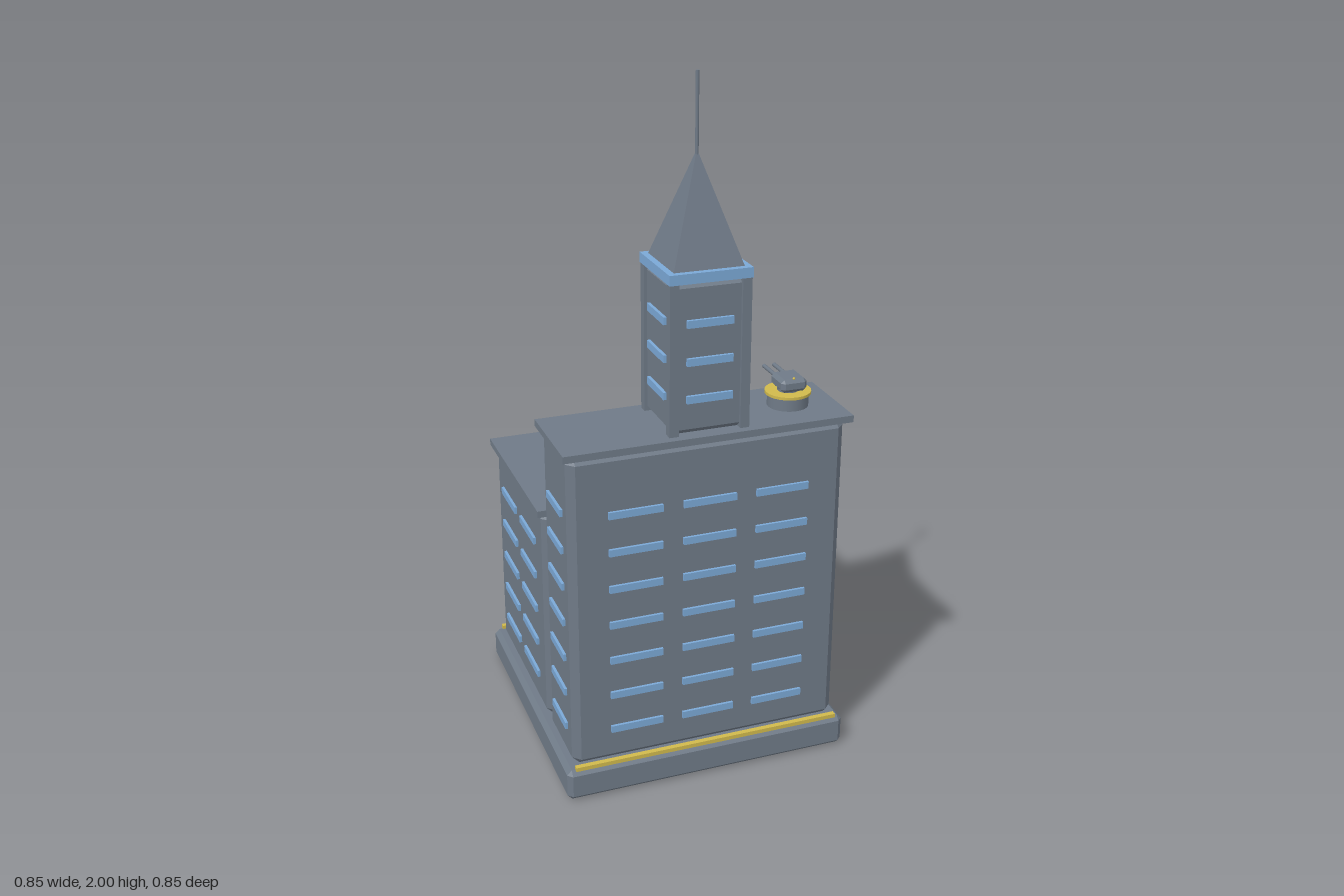
import * as THREE from 'three';
import { ConvexGeometry } from 'three/addons/geometries/ConvexGeometry.js';

const mat = (name, color) => {
  const m = new THREE.MeshStandardMaterial({ color });
  m.name = name;
  return m;
};

export function createModel() {
  const grey = mat('slate grey', 0x6f7a87);
  const blue = mat('window blue', 0x7ba8d6);
  const gold = mat('trim gold', 0xd0b94c);
  const root = new THREE.Group();
  root.name = 'fortressBuilding';

  const add = (parent, name, geo, material, x = 0, y = 0, z = 0) => {
    const m = new THREE.Mesh(geo, material);
    m.name = name;
    m.position.set(x, y, z);
    parent.add(m);
    return m;
  };
  const group = (name) => {
    const g = new THREE.Group();
    g.name = name;
    root.add(g);
    return g;
  };
  const box = (parent, name, material, w, h, d, x, y, z) =>
    add(parent, name, new THREE.BoxGeometry(w, h, d), material, x, y, z);

  // Box with all twelve edges cut by c
  const chamferBox = (w, h, d, c) => {
    const pts = [];
    for (const sx of [-1, 1]) for (const sy of [-1, 1]) for (const sz of [-1, 1]) {
      const p = [w / 2, h / 2, d / 2], s = [sx, sy, sz];
      for (let k = 0; k < 3; k++)
        pts.push(new THREE.Vector3(...p.map((v, i) => s[i] * (i === k ? v : v - c))));
    }
    return new ConvexGeometry(pts);
  };

  // Grid of window bars; the wall normal runs along 'x' or 'z'
  const windows = (parent, axis, wall, columns, rows, width) => {
    for (const y of rows) for (const c of columns) {
      if (axis === 'z') box(parent, 'windowBar', blue, width, 0.021, 0.016, c, y, wall);
      else box(parent, 'windowBar', blue, 0.016, 0.021, width, wall, y, c);
    }
  };
  const floors = (n) => Array.from({ length: n }, (_, i) => 0.2 + i * 0.111);

  // Plinth with its gold edge strips
  const base = group('base');
  add(base, 'plinth', chamferBox(0.85, 0.095, 0.85, 0.014), grey, 0, 0.0475, 0);
  for (const s of [-1, 1])
    box(base, 'edgeStrip', gold, 0.8, 0.012, 0.015, 0, 0.1, s * 0.414);

  // Tall front block
  const front = group('frontBlock');
  add(front, 'frontBody', chamferBox(0.8, 0.95, 0.24, 0.022), grey, 0, 0.568, 0.28);
  box(front, 'frontRoof', grey, 0.83, 0.02, 0.27, 0, 1.05, 0.28);
  for (const z of [0.16, 0.4]) windows(front, 'z', z, [-0.213, 0, 0.213], floors(7), 0.154);
  for (const x of [-0.4, 0.4]) windows(front, 'x', x, [0.28], floors(7), 0.132);

  // Two rear wings around the courtyard
  for (const s of [-1, 1]) {
    const wing = group(s > 0 ? 'leftWing' : 'rightWing');
    add(wing, 'wingBody', chamferBox(0.24, 0.67, 0.525, 0.022), grey, s * 0.28, 0.43, -0.122);
    box(wing, 'wingRoof', grey, 0.275, 0.02, 0.545, s * 0.2785, 0.77, -0.1275);
    windows(wing, 'x', s * 0.4, [-0.02, -0.23], floors(5), 0.155);
    windows(wing, 'z', -0.385, [s * 0.28], floors(5), 0.132);
    // Courtyard gate post
    box(wing, 'gatePost', gold, 0.014, 0.022, 0.015, s * 0.141, 0.104, -0.388);
  }

  // Ringed mast on the rear corner
  const mast = group('cornerMast');
  add(mast, 'mastRod', new THREE.CylinderGeometry(0.004, 0.004, 0.11, 8), gold, 0.4, 0.148, -0.388);
  for (let i = 0; i < 6; i++) {
    const ring = add(mast, 'mastRing', new THREE.TorusGeometry(0.006, 0.004, 6, 12), gold, 0.4, 0.11 + i * 0.017, -0.388);
    ring.rotation.x = Math.PI / 2;
  }

  // Clock-tower-like centre tower
  const tower = group('tower');
  tower.position.set(0, 0, 0.278);
  add(tower, 'towerBody', chamferBox(0.21, 0.42, 0.21, 0.014), grey, 0, 1.27, 0);
  for (const x of [-1, 1]) for (const z of [-1, 1])
    box(tower, 'cornerPier', grey, 0.026, 0.42, 0.026, x * 0.101, 1.27, z * 0.101);
  const towerRows = [1.16, 1.265, 1.37];
  for (const s of [-0.106, 0.106]) {
    windows(tower, 'z', s, [0], towerRows, 0.13);
    windows(tower, 'x', s, [0], towerRows, 0.13);
  }
  box(tower, 'blueCornice', blue, 0.232, 0.028, 0.232, 0, 1.494, 0);
  const spire = new THREE.CylinderGeometry(0.005, 0.098 * Math.SQRT2, 0.282, 4).toNonIndexed();
  spire.computeVertexNormals();
  spire.rotateY(Math.PI / 4);
  add(tower, 'spire', spire, grey, 0, 1.649, 0);
  add(tower, 'antenna', new THREE.CylinderGeometry(0.005, 0.005, 0.23, 8), grey, 0, 1.885, 0);

  // Twin-barrel roof turret aimed to the rear
  const turret = group('turret');
  turret.position.set(0.278, 0, 0.277);
  add(turret, 'turretBase', new THREE.CylinderGeometry(0.058, 0.058, 0.036, 24), grey, 0, 1.078, 0);
  add(turret, 'turretRing', new THREE.CylinderGeometry(0.065, 0.065, 0.008, 24), gold, 0, 1.1, 0);
  add(turret, 'turretNeck', new THREE.CylinderGeometry(0.03, 0.03, 0.015, 16), grey, 0, 1.11, 0);
  add(turret, 'turretHead', chamferBox(0.077, 0.038, 0.085, 0.01), grey, 0, 1.13, 0.005);
  add(turret, 'sensor', new THREE.SphereGeometry(0.004, 8, 6), gold, 0, 1.149, 0.037);
  for (const s of [-1, 1]) {
    const barrel = add(turret, 'barrel', new THREE.CylinderGeometry(0.006, 0.006, 0.1, 10), grey, s * 0.0155, 1.129, -0.082);
    const sleeve = add(turret, 'barrelSleeve', new THREE.CylinderGeometry(0.009, 0.009, 0.02, 10), grey, s * 0.0155, 1.129, -0.04);
    barrel.rotation.x = sleeve.rotation.x = Math.PI / 2;
  }
  return root;
}
